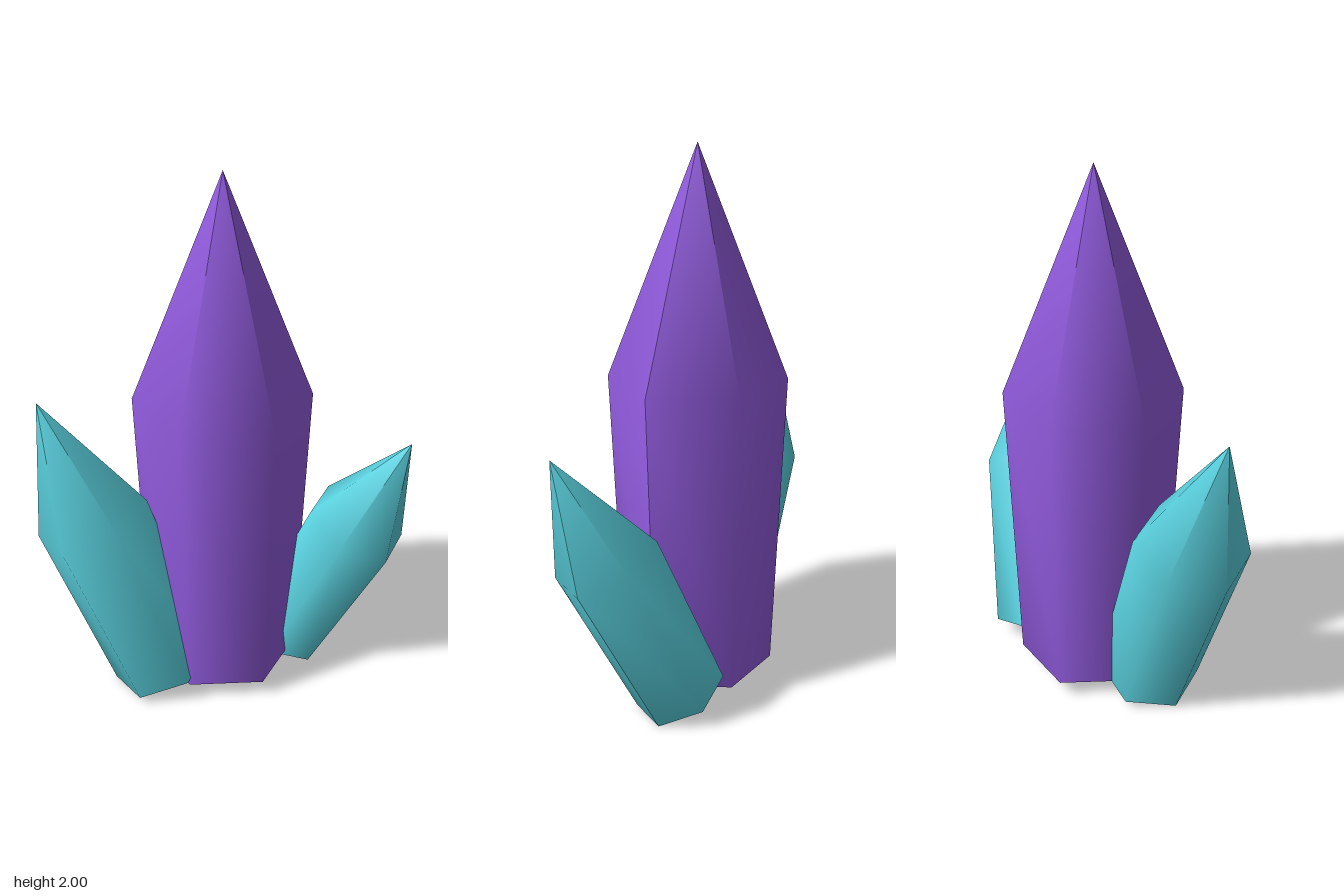
import * as THREE from 'three';

// Six-sided crystal standing on its local origin, with a ridge along +x.
// Shared ring vertices shade smoothly, the seam at +x and the tip stay sharp.
function crystalGeometry(baseRadius, shoulderRadius, shoulderHeight, height) {
  const profile = [
    new THREE.Vector2(0, 0),
    new THREE.Vector2(baseRadius, 0),
    new THREE.Vector2(shoulderRadius, shoulderHeight),
    new THREE.Vector2(0, height),
  ];
  const geometry = new THREE.LatheGeometry(profile, 6, Math.PI / 2);
  geometry.computeVertexNormals();
  return geometry;
}

export function createModel() {
  const purple = new THREE.MeshStandardMaterial({ color: 0x935ce0 });
  purple.name = 'purple crystal';
  const teal = new THREE.MeshStandardMaterial({ color: 0x5cd6e4 });
  teal.name = 'teal crystal';

  const model = new THREE.Group();
  model.name = 'crystalCluster';

  function addCrystal(name, material, size, position, rotation) {
    const mesh = new THREE.Mesh(crystalGeometry(...size), material);
    mesh.name = name;
    mesh.position.set(...position);
    mesh.rotation.set(...rotation);
    model.add(mesh);
  }

  // Upright main crystal
  addCrystal('mainCrystal', purple, [0.277, 0.32, 1.11, 1.93], [0, 0.07, 0], [0, 0, 0]);
  // Side crystals leaning outwards
  addCrystal('rightCrystal', teal, [0.193, 0.21, 0.72, 1.227], [-0.238, 0.068, 0.097], [0, 0, 0.338]);
  addCrystal('leftCrystal', teal, [0.17, 0.19, 0.645, 1.08], [0.257, 0.068, -0.093], [0.235, 0, -0.38]);

  return model;
}
